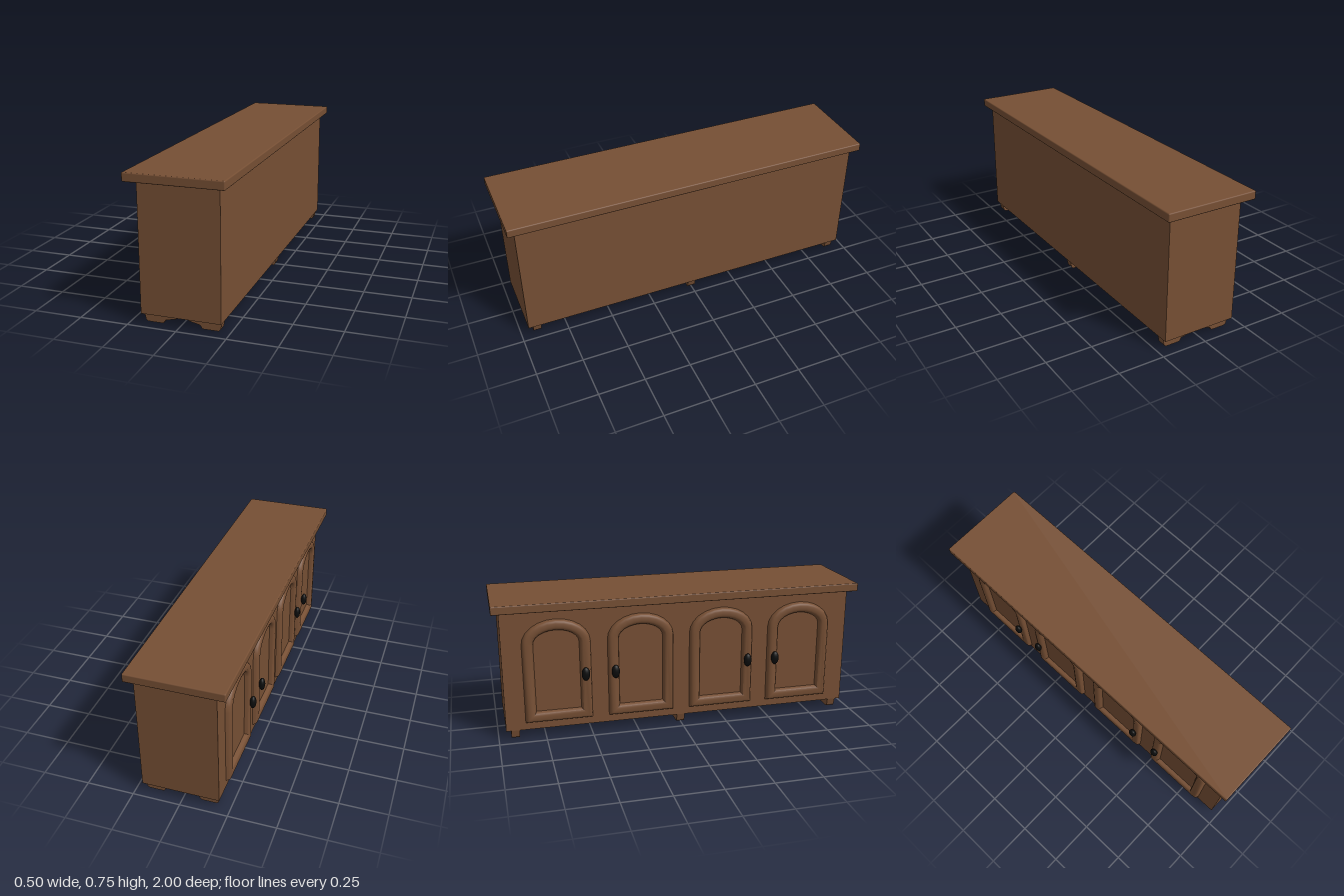
import * as THREE from 'three';
import { toCreasedNormals } from 'three/addons/utils/BufferGeometryUtils.js';
import { RoundedBoxGeometry } from 'three/addons/geometries/RoundedBoxGeometry.js';

const wood = new THREE.MeshStandardMaterial({ name: 'brown wood', color: 0x764f34 });
const iron = new THREE.MeshStandardMaterial({ name: 'black iron', color: 0x0b0c0c });

const FACE_X = -0.195; // cabinet face carrying the doors

function add(group, name, geometry, material, x = 0, y = 0, z = 0) {
  const mesh = new THREE.Mesh(geometry, material);
  mesh.name = name;
  mesh.position.set(x, y, z);
  group.add(mesh);
  return mesh;
}

// Arched outline, counterclockwise, moved inwards by inset
function archOutline(inset) {
  const half = 0.18 - inset, bottom = 0.088 + inset, spring = 0.52, rise = 0.132 - inset;
  const points = [[-half, bottom], [half, bottom]];
  const steps = 12;
  for (let i = 0; i <= steps; i++) {
    const a = (Math.PI * i) / steps;
    points.push([half * Math.cos(a), spring + rise * Math.sin(a)]);
  }
  return points;
}

// Rounded moulding swept around the arch: [inset, height] profile
function doorFrameGeometry() {
  const profile = [[0, 0], [0.005, 0.014], [0.01, 0.021], [0.02, 0.025],
    [0.04, 0.025], [0.05, 0.021], [0.055, 0.014], [0.06, 0]];
  const positions = [], index = [];
  const n = archOutline(0).length;
  profile.forEach(([inset, height], j) => {
    for (const [x, y] of archOutline(inset)) positions.push(x, y, height);
    if (j === profile.length - 1) return;
    for (let i = 0; i < n; i++) {
      const k = (i + 1) % n;
      const a = j * n + i, b = j * n + k, c = b + n, d = a + n;
      index.push(a, b, c, a, c, d);
    }
  });
  const geometry = new THREE.BufferGeometry();
  geometry.setAttribute('position', new THREE.Float32BufferAttribute(positions, 3));
  geometry.setIndex(index);
  geometry.rotateY(-Math.PI / 2); // face -x
  return toCreasedNormals(geometry, 0.8);
}

// Scalloped bracket running across the depth of the cabinet
function footGeometry() {
  const centre = 0.009, thickness = 0.044;
  const half = [[0.199, 0.048], [0.191, 0.01], [0.182, 0], [0.1, 0], [0.088, 0.018], [0.035, 0.03]];
  const right = half.map(([x, y]) => new THREE.Vector2(centre + x, y));
  const left = half.map(([x, y]) => new THREE.Vector2(centre - x, y)).reverse();
  const shape = new THREE.Shape([...right, new THREE.Vector2(centre, 0.048), ...left]);
  const geometry = new THREE.ExtrudeGeometry(shape, { depth: thickness, bevelEnabled: false });
  return geometry.translate(0, 0, -thickness / 2);
}

export function createModel() {
  const model = new THREE.Group();
  model.name = 'sideboard';

  // Carcass and overhanging top
  add(model, 'cabinetBody', new THREE.BoxGeometry(0.408, 0.66, 1.92), wood, 0.009, 0.378, 0);
  add(model, 'topBoard', new RoundedBoxGeometry(0.5, 0.045, 2, 2, 0.006), wood, 0, 0.7275, 0);

  // Three bracket feet
  const foot = footGeometry();
  for (const z of [-0.911, 0, 0.911]) add(model, 'bracketFoot', foot, wood, 0, 0, z);

  // Four arched doors, in two pairs with facing knobs
  const frame = doorFrameGeometry();
  const knob = new THREE.SphereGeometry(1, 16, 10).scale(0.0165, 0.037, 0.022);
  for (const side of [-1, 1]) {
    for (const [door, knobZ] of [[0.225, 0.37], [0.675, 0.53]]) {
      add(model, 'doorFrame', frame, wood, FACE_X, 0, side * door);
      add(model, 'doorKnob', knob, iron, -0.2345, 0.349, side * knobZ);
    }
  }
  return model;
}
